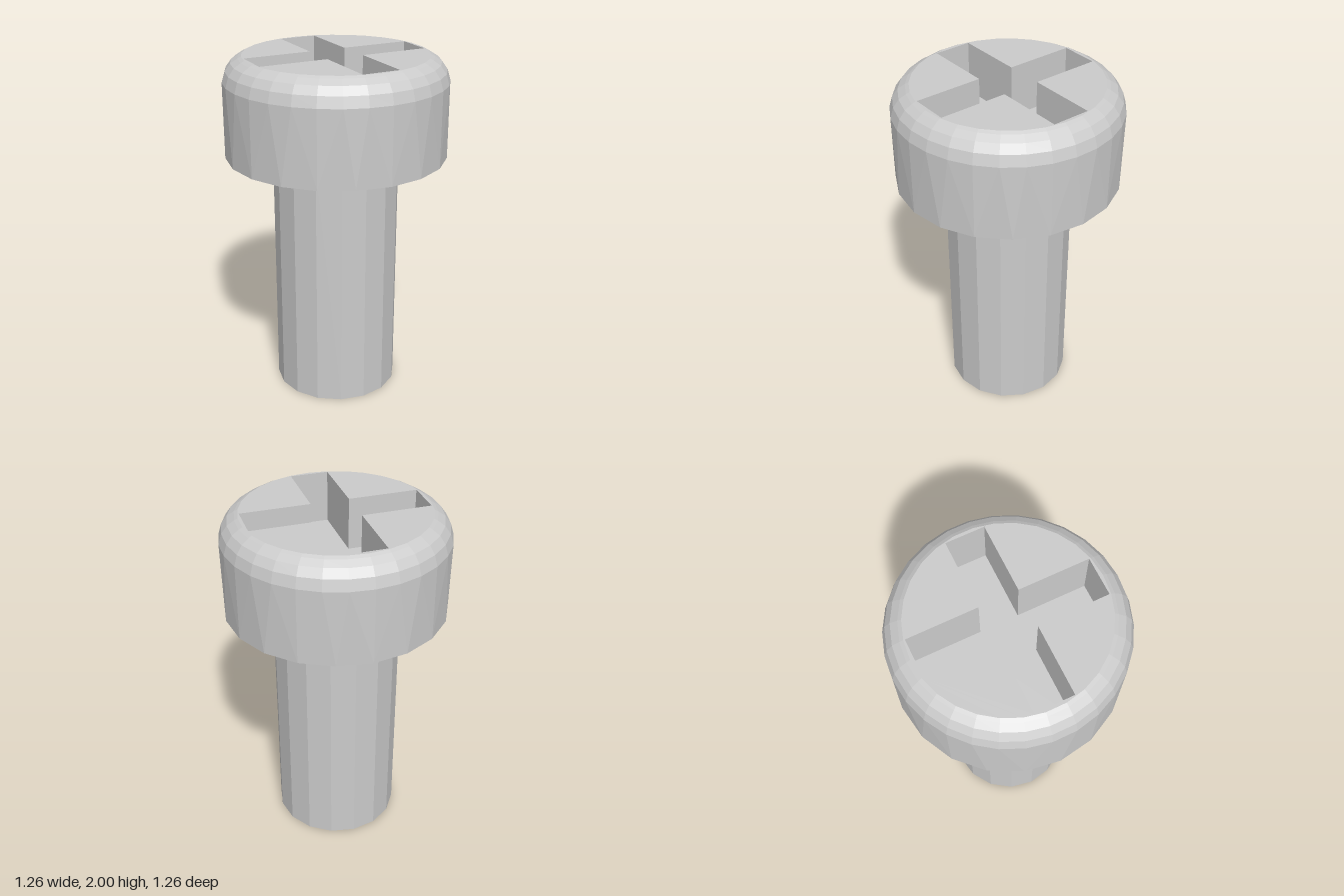
import * as THREE from 'three';

const HEAD_R = 0.63, SHAFT_R = 0.36, HEAD_BASE = 1.43, TOP = 2;
const SLOT_W = 0.108, SLOT_L = 0.5, SLOT_FLOOR = 1.7;
const RIM_R = 0.52, RIM_SIDES = 30;

const material = new THREE.MeshStandardMaterial({ color: 0xcccccc, flatShading: true });

// Regular polygon ring, counterclockwise seen from above, starting at +z
function ring(sides, r, y) {
  return Array.from({ length: sides }, (_, i) => {
    const a = (i / sides) * Math.PI * 2;
    return new THREE.Vector3(r * Math.sin(a), y, r * Math.cos(a));
  });
}

// Triangle strip between two closed rings, which may differ in side count
function band(lower, upper) {
  const pts = [], n = lower.length, m = upper.length;
  let i = 0, j = 0;
  while (i < n || j < m) {
    const a = lower[i % n], b = upper[j % m];
    if (j >= m || (i < n && (i + 1) / n <= (j + 1) / m)) pts.push(a, lower[++i % n], b);
    else pts.push(a, upper[(j + 1) % m], b), j++;
  }
  const geometry = new THREE.BufferGeometry().setFromPoints(pts);
  geometry.computeVertexNormals();
  return geometry;
}

// Flat face lying at height y, facing up
function face(shape, y) {
  return new THREE.ShapeGeometry(shape).rotateX(-Math.PI / 2).translate(0, y, 0);
}

function add(group, name, geometry) {
  const mesh = new THREE.Mesh(geometry, material);
  mesh.name = name;
  group.add(mesh);
}

export function createModel() {
  const model = new THREE.Group();
  model.name = 'crossSlotScrew';

  // Shaft: 16-sided with a flat end
  const shaft = new THREE.Group();
  shaft.name = 'shaft';
  add(shaft, 'shaftSide', band(ring(16, SHAFT_R, 0), ring(16, SHAFT_R, HEAD_BASE)));
  add(shaft, 'shaftEnd', new THREE.CircleGeometry(SHAFT_R, 16).rotateX(Math.PI / 2));

  // Head: 20-sided base blending into a 30-sided rounded shoulder
  const head = new THREE.Group();
  head.name = 'head';
  const base = ring(20, HEAD_R, HEAD_BASE);
  const shoulder = [[HEAD_R, 1.86], [0.612, 1.92], [0.58, 1.964], [0.54, 1.99], [RIM_R, TOP]]
    .map(([r, y]) => ring(RIM_SIDES, r, y));
  add(head, 'headUnderside', band(ring(16, SHAFT_R, HEAD_BASE), base));
  add(head, 'headSide', band(base, shoulder[0]));
  for (let i = 1; i < shoulder.length; i++) {
    add(head, 'headShoulder' + i, band(shoulder[i - 1], shoulder[i]));
  }

  // Cross outline, one arm turned four times
  const cross = [];
  for (let k = 0; k < 4; k++) {
    for (const [x, y] of [[SLOT_L, -SLOT_W], [SLOT_L, SLOT_W], [SLOT_W, SLOT_W]]) {
      cross.push(new THREE.Vector2(x, y).rotateAround(new THREE.Vector2(), k * Math.PI / 2));
    }
  }

  // Top face with the cross cut out
  const topShape = new THREE.Shape(shoulder.at(-1).map(p => new THREE.Vector2(p.x, -p.z)));
  topShape.holes.push(new THREE.Path(cross));
  add(head, 'headTop', face(topShape, TOP));

  // Slot walls and floor
  const outline = y => cross.map(p => new THREE.Vector3(p.x, y, -p.y));
  add(head, 'slotWalls', band(outline(TOP), outline(SLOT_FLOOR)));
  add(head, 'slotFloor', face(new THREE.Shape(cross), SLOT_FLOOR));

  model.add(shaft, head);
  return model;
}
